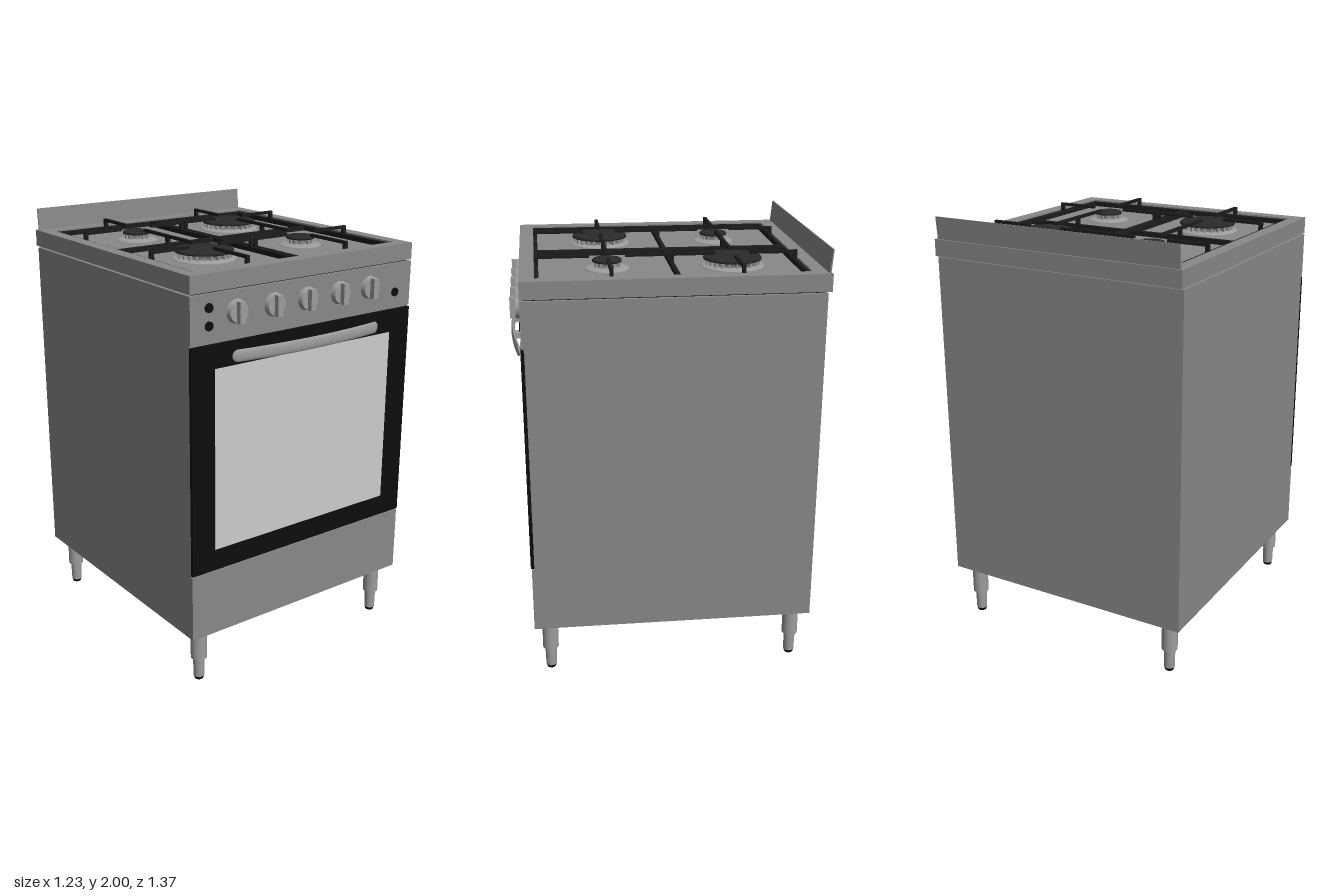
import * as THREE from 'three';

export function createModel() {
  const root = new THREE.Group();
  const mat = (color) => new THREE.MeshStandardMaterial({ color });
  const steel = mat(0x888888), chrome = mat(0x9c9c9c), black = mat(0x0d0d0d);
  const iron = mat(0x1c1c1c), capMat = mat(0x2a2a2a), glass = mat(0xcccccc);

  const add = (name, geo, material, parent = root) => {
    const m = new THREE.Mesh(geo, material);
    m.name = name;
    parent.add(m);
    return m;
  };
  // Box given by its two extreme corners
  const box = (name, x0, x1, y0, y1, z0, z1, material, parent) =>
    add(name, new THREE.BoxGeometry(x1 - x0, y1 - y0, z1 - z0)
      .translate((x0 + x1) / 2, (y0 + y1) / 2, (z0 + z1) / 2), material, parent);
  const group = (name) => {
    const g = new THREE.Group();
    g.name = name;
    root.add(g);
    return g;
  };
  const W = 0.617;

  // Cabinet with the front panels
  box('cabinet', -W, W, 0.255, 1.815, -0.67, 0.622, steel);
  box('drawerFront', -W, W, 0.255, 0.565, 0.62, 0.632, steel);
  box('controlPanel', -W, W, 1.61, 1.815, 0.62, 0.632, steel);
  box('ovenDoor', -W, W, 0.572, 1.602, 0.62, 0.636, black);
  box('ovenWindow', -0.498, 0.495, 0.672, 1.497, 0.63, 0.638, glass);

  // Bowed, flattened door handle
  const bar = new THREE.CapsuleGeometry(0.0275, 0.77, 8, 20, 28).rotateZ(Math.PI / 2);
  const p = bar.attributes.position;
  for (let i = 0; i < p.count; i++) {
    const x = p.getX(i);
    p.setZ(i, p.getZ(i) * 0.3 + 0.645 + 0.032 * (1 - (x / 0.412) ** 2));
  }
  bar.translate(-0.002, 1.538, 0);
  bar.computeVertexNormals();
  add('doorHandle', bar, chrome);
  for (const x of [-0.14, 0.14]) box('handlePost', x - 0.025, x + 0.025, 1.525, 1.551, 0.63, 0.672, chrome);

  // Control knobs: round base with a raised grip
  for (const x of [-0.385, -0.187, -0.005, 0.182, 0.36]) {
    const g = group('knob');
    g.position.set(x, 1.725, 0.632);
    add('knobBase', new THREE.CylinderGeometry(0.046, 0.052, 0.022, 32).rotateX(Math.PI / 2).translate(0, 0, 0.011), chrome, g);
    box('knobGrip', -0.014, 0.014, -0.046, 0.046, 0.02, 0.046, chrome, g);
  }
  // Push buttons
  for (const [x, y] of [[-0.525, 1.758], [-0.525, 1.682], [0.52, 1.682]])
    add('button', new THREE.CylinderGeometry(0.02, 0.02, 0.008, 20).rotateX(Math.PI / 2).translate(x, y, 0.634), black);

  // Hob rim with a sunken well
  const rect = (s, x0, x1, z0, z1) => s.moveTo(x0, z0).lineTo(x1, z0).lineTo(x1, z1).lineTo(x0, z1).closePath();
  const rim = rect(new THREE.Shape(), -W, W, -0.687, 0.632);
  rim.holes.push(rect(new THREE.Path(), -0.557, 0.557, -0.61, 0.567));
  add('hobRim', new THREE.ExtrudeGeometry(rim, { depth: 0.077, bevelEnabled: false })
    .rotateX(Math.PI / 2).translate(0, 1.899, 0), steel);
  box('hobFloor', -0.56, 0.56, 1.823, 1.868, -0.615, 0.572, steel);
  box('hobSeam', -0.6, 0.6, 1.81, 1.825, -0.66, 0.615, black);

  // Upright rear guard leaning slightly backwards
  const guard = new THREE.Shape();
  guard.moveTo(0.672, 1.89).lineTo(0.679, 1.89).lineTo(0.688, 2).lineTo(0.683, 2).closePath();
  add('rearGuard', new THREE.ExtrudeGeometry(guard, { depth: 1.21, bevelEnabled: false })
    .rotateY(Math.PI / 2).translate(-0.605, 0, 0)
    .applyMatrix4(new THREE.Matrix4()), steel);

  // Burners: pan, vented body and cap
  const lathe = (pts) => new THREE.LatheGeometry(pts.map(([r, y]) => new THREE.Vector2(r, y)), 40);
  const burner = (x, z, capR, panR) => {
    const g = group('burner');
    g.position.set(x, 1.868, z);
    add('burnerPan', lathe([[panR, 0], [panR, 0.004], [panR - 0.012, 0.008], [capR * 0.85, 0.012]]), steel, g).material = chrome;
    add('burnerBody', lathe([[capR * 0.8, 0.008], [capR * 0.8, 0.026], [capR * 0.95, 0.032], [0, 0.032]]), chrome, g);
    const n = Math.round(capR * 180);
    for (let i = 0; i < n; i++) {
      const tooth = box('burnerTooth', capR * 0.75, capR * 0.95, 0.01, 0.032, -0.004, 0.004, chrome, g);
      tooth.rotation.y = (i / n) * Math.PI * 2;
    }
    add('burnerCap', lathe([[0, 0.032], [capR, 0.032], [capR, 0.04], [capR - 0.006, 0.045], [0, 0.045]]), capMat, g);
  };
  burner(-0.272, -0.315, 0.065, 0.098);
  burner(0.275, -0.315, 0.13, 0.143);
  burner(-0.272, 0.245, 0.13, 0.143);
  burner(0.275, 0.245, 0.065, 0.098);

  // Pan supports: low frame, raised prongs reaching towards each burner
  const T = 0.009, lo = 1.87, mid = 1.892, top = 1.931, zs = [-0.6, 0.557], zMid = -0.042;
  for (const s of [-1, 1]) {
    const g = group(s < 0 ? 'rightPanSupport' : 'leftPanSupport');
    const xs = s < 0 ? [-0.546, -0.012] : [0.012, 0.546], xc = s * 0.274;
    for (const x of xs) box('frameSide', x - 0.01, x + 0.01, lo, mid, zs[0] - T, zs[1] + T, iron, g);
    for (const z of [zs[0], zMid, zs[1]]) box('frameCross', xs[0], xs[1], lo, mid, z - T, z + T, iron, g);
    for (const z of [zs[0], zMid, zs[1]]) box('upright', xc - 0.008, xc + 0.008, lo, top, z - T, z + T, iron, g);
    for (const [a, b] of [[zs[0] - T, -0.395], [-0.235, 0.165], [0.325, zs[1] + T]])
      box('prong', xc - 0.008, xc + 0.008, top - 0.013, top, a, b, iron, g);
    for (const z of [-0.318, 0.245]) {
      for (const x of xs) box('upright', x - T, x + T, lo, top, z - 0.008, z + 0.008, iron, g);
      box('prong', xs[0] - T, xc - 0.082, top - 0.013, top, z - 0.008, z + 0.008, iron, g);
      box('prong', xc + 0.082, xs[1] + T, top - 0.013, top, z - 0.008, z + 0.008, iron, g);
    }
  }

  // Stepped adjustable feet
  for (const x of [-0.537, 0.537]) for (const z of [-0.597, 0.56]) {
    const g = group('leg');
    g.position.set(x, 0, z);
    add('legSleeve', new THREE.CylinderGeometry(0.037, 0.037, 0.147, 28).translate(0, 0.1835, 0), chrome, g);
    add('legFoot', new THREE.CylinderGeometry(0.027, 0.025, 0.1, 28).translate(0, 0.065, 0), chrome, g);
    add('footPad', new THREE.CylinderGeometry(0.025, 0.02, 0.015, 28).translate(0, 0.0075, 0), black, g);
  }
  return root;
}
